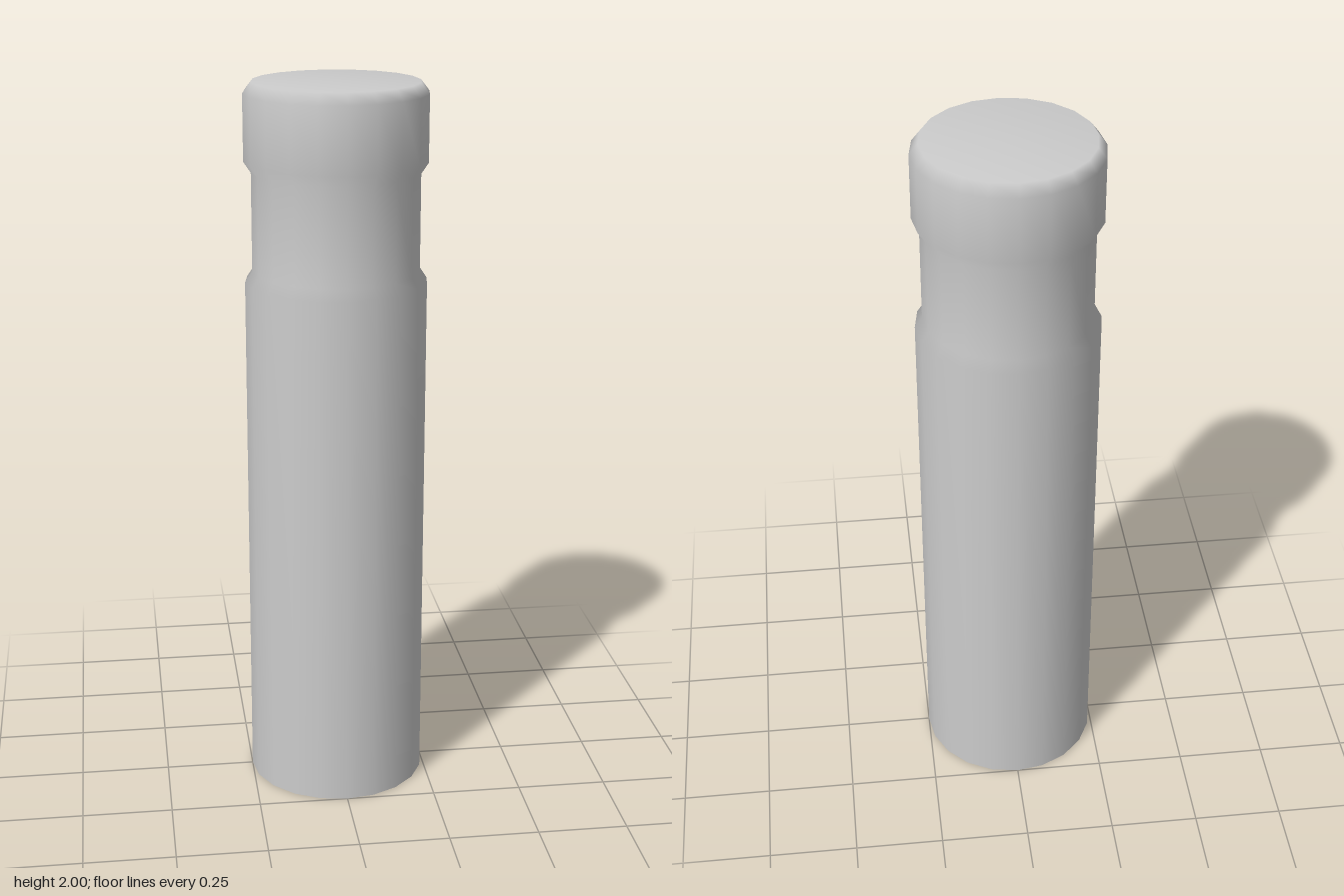
import * as THREE from 'three';

export function createModel() {
  const group = new THREE.Group();
  group.name = 'post';

  // Open-bottomed post: straight shaft, recessed neck, bevelled head
  const profile = [
    [0.25, 0], [0.25, 1.46], [0.23, 1.49], [0.23, 1.76],
    [0.25, 1.79], [0.25, 1.97], [0.227, 2], [0, 2],
  ].map(([r, y]) => new THREE.Vector2(r, y));

  const material = new THREE.MeshStandardMaterial({ color: 0xcccccc, side: THREE.DoubleSide });
  const shell = new THREE.Mesh(new THREE.LatheGeometry(profile, 20), material);
  shell.name = 'postShell';
  group.add(shell);
  return group;
}
